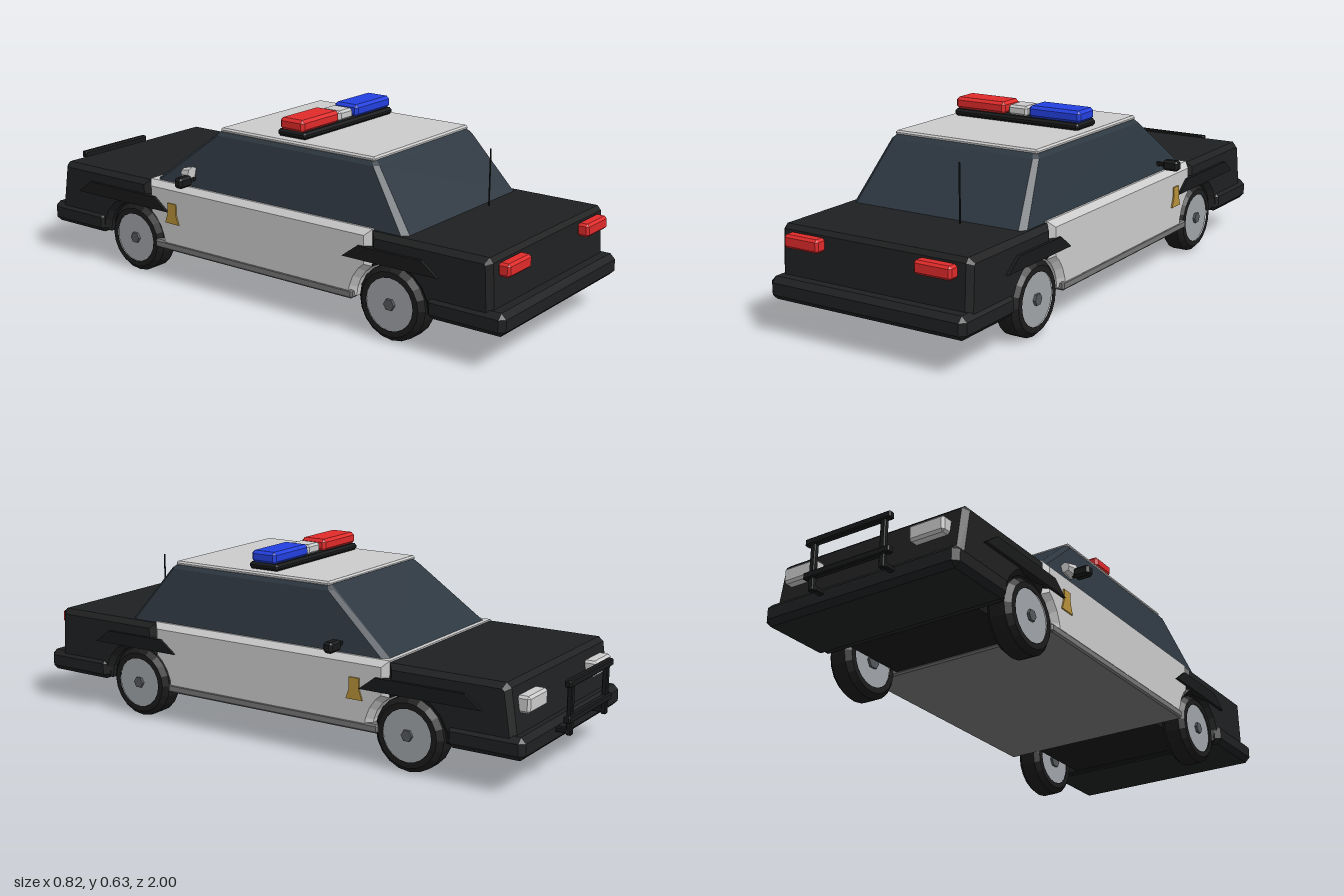
import * as THREE from 'three';
import { ConvexGeometry } from 'three/addons/geometries/ConvexGeometry.js';

const mat = (color) => new THREE.MeshStandardMaterial({ color, flatShading: true });
const MAT = {
  white: mat(0xcccccc), black: mat(0x1f2021), trim: mat(0x18191a), tyre: mat(0x1b1b1c),
  glass: mat(0x2d3740), sill: mat(0x777777), rim: mat(0xa0a4a8), cap: mat(0x55585b),
  red: mat(0xe02a2a), blue: mat(0x2340e0), gold: mat(0xb8923a), lamp: mat(0xc4c8c8),
};

export function createModel() {
  const car = new THREE.Group();
  car.name = 'patrolCar';

  const add = (name, geometry, material, parent = car) => {
    const mesh = new THREE.Mesh(geometry, material);
    mesh.name = name;
    parent.add(mesh);
    return mesh;
  };

  // Box from min/max extents with every edge chamfered by c
  const block = (name, x, y, z, c, material, parent) => {
    const points = [];
    for (const i of [0, 1]) for (const j of [0, 1]) for (const k of [0, 1]) {
      const ix = i ? -c : c, iy = j ? -c : c, iz = k ? -c : c;
      points.push(new THREE.Vector3(x[i], y[j] + iy, z[k] + iz));
      points.push(new THREE.Vector3(x[i] + ix, y[j], z[k] + iz));
      points.push(new THREE.Vector3(x[i] + ix, y[j] + iy, z[k]));
    }
    return add(name, new ConvexGeometry(points), material, parent);
  };

  // Side profile of [z, y] points extruded across the car, between x0 and x1
  const profile = (name, points, x0, x1, bevel, material) => {
    const shape = new THREE.Shape(points.map(([z, y]) => new THREE.Vector2(z, y)));
    const geometry = new THREE.ExtrudeGeometry(shape, {
      depth: x1 - x0 - 2 * bevel, bevelEnabled: bevel > 0, bevelSize: bevel,
      bevelThickness: bevel, bevelOffset: -bevel, bevelSegments: 1,
    });
    geometry.rotateY(-Math.PI / 2);
    geometry.translate(x1 - bevel, 0, 0);
    return add(name, geometry, material);
  };

  // Wheel arch points, angles in degrees
  const REAR = 0.576, FRONT = -0.533, FLOOR = 0.12;
  const arch = (cz, from, to) => {
    const n = Math.ceil(Math.abs(to - from) / 18);
    return Array.from({ length: n + 1 }, (_, i) => {
      const a = THREE.MathUtils.degToRad(from + (to - from) * i / n);
      return [cz + 0.135 * Math.cos(a), FLOOR + 0.135 * Math.sin(a)];
    });
  };

  // Body: boot, doors and bonnet sections meeting above the arches
  profile('boot', [[0.95, FLOOR], [0.938, 0.335], [0.925, 0.35], [0.5, 0.35],
    ...arch(REAR, 124.3, 0)], -0.36, 0.36, 0.018, MAT.black);
  profile('doorSection', [[0.5, 0.355], [-0.46, 0.355], ...arch(FRONT, 57.3, 0),
    ...arch(REAR, 180, 124.3)], -0.362, 0.362, 0.02, MAT.white);
  profile('bonnet', [[-0.46, 0.35], [-0.87, 0.35], [-0.887, 0.335], [-0.92, FLOOR],
    ...arch(FRONT, 180, 57.3)], -0.36, 0.36, 0.018, MAT.black);
  add('chassis', new THREE.BoxGeometry(0.5, 0.2, 1.76).translate(0, 0.222, 0), MAT.trim);
  block('sill', [-0.364, 0.364], [0.113, 0.143], [-0.428, 0.436], 0.006, MAT.sill);

  // Bumpers
  block('rearBumper', [-0.37, 0.37], [0.115, 0.19], [0.715, 0.995], 0.018, MAT.black);
  block('frontBumper', [-0.37, 0.37], [0.115, 0.19], [-0.945, -0.675], 0.018, MAT.black);

  // Cabin glass: stacked rings of chamfered rectangles
  const cabin = [];
  for (const [y, x, z0, z1, c] of [[0.35, 0.335, -0.45, 0.622, 0.02],
    [0.54, 0.288, -0.205, 0.475, 0.015], [0.556, 0.272, -0.188, 0.455, 0.01]]) {
    for (const s of [-1, 1]) for (const [px, pz] of
      [[x - c, z0], [x, z0 + c], [x, z1 - c], [x - c, z1]]) {
      cabin.push(new THREE.Vector3(s * px, y, pz));
    }
  }
  add('cabinGlass', new ConvexGeometry(cabin), MAT.glass);
  block('roof', [-0.278, 0.278], [0.549, 0.566], [-0.187, 0.457], 0.006, MAT.white);

  // Roof light bar
  block('lightBarBase', [-0.25, 0.25], [0.568, 0.592], [0.04, 0.16], 0.008, MAT.trim);
  block('redBeacon', [-0.25, -0.048], [0.59, 0.632], [0.05, 0.15], 0.01, MAT.red);
  block('blueBeacon', [0.048, 0.25], [0.59, 0.632], [0.05, 0.15], 0.01, MAT.blue);
  block('centreBeacon', [-0.038, 0.038], [0.59, 0.625], [0.06, 0.142], 0.008, MAT.lamp);

  // Tyre section as radius against width
  const tyreProfile = [[0.088, -0.045], [0.108, -0.045], [0.125, -0.028],
    [0.125, 0.028], [0.108, 0.045], [0.088, 0.045]].map(([r, w]) => new THREE.Vector2(r, w));

  for (const side of [-1, 1]) {
    const label = side > 0 ? 'left' : 'right';
    const span = (a, b) => (side > 0 ? [a, b] : [-b, -a]);

    for (const [end, cz] of [['Front', FRONT], ['Rear', REAR]]) {
      // Wheel with rim and hub cap
      const wheel = new THREE.Group();
      wheel.name = `${label}${end}Wheel`;
      wheel.position.set(side * 0.31, 0.125, cz);
      wheel.rotation.z = -side * Math.PI / 2;
      add('tyre', new THREE.LatheGeometry(tyreProfile, 20), MAT.tyre, wheel);
      add('rim', new THREE.CylinderGeometry(0.09, 0.09, 0.082, 20), MAT.rim, wheel);
      add('hubCap', new THREE.CylinderGeometry(0.02, 0.026, 0.1, 6), MAT.cap, wheel);
      car.add(wheel);

      // Flared arch trim
      const [z0, z1] = end === 'Rear' ? [0.4, 0.76] : [-0.8, -0.36];
      profile(`${label}${end}Flare`, [[z0, 0.255], [z1, 0.255], [z1 - 0.06, 0.3],
        [z0 + 0.06, 0.3]], ...span(0.345, 0.371), 0, MAT.trim);
    }

    // Lamps, mirror and door badge
    block(`${label}TailLight`, span(0.18, 0.315), [0.286, 0.33], [0.935, 0.978], 0.008, MAT.red);
    block(`${label}Headlight`, span(0.18, 0.31), [0.25, 0.305], [-0.932, -0.885], 0.008, MAT.lamp);
    block(`${label}Mirror`, span(0.352, 0.412), [0.365, 0.402], [-0.285, -0.25], 0.008, MAT.trim);
    block(`${label}MirrorArm`, span(0.31, 0.36), [0.376, 0.39], [-0.273, -0.26], 0.002, MAT.trim);
    profile(`${label}Badge`, [[-0.372, 0.215], [-0.31, 0.215], [-0.322, 0.25], [-0.322, 0.288],
      [-0.36, 0.288], [-0.36, 0.25]], ...span(0.355, 0.367), 0, MAT.gold);

    // Push bar upright and its mount
    block(`${label}PushBarUpright`, span(0.125, 0.145), [0.15, 0.33], [-0.996, -0.978], 0.003, MAT.trim);
    block(`${label}PushBarMount`, span(0.125, 0.145), [0.155, 0.172], [-0.985, -0.93], 0.003, MAT.trim);
  }

  // Push bar rails
  for (const y of [0.205, 0.32]) {
    block('pushBarRail', [-0.165, 0.165], [y - 0.012, y + 0.012], [-1, -0.977], 0.004, MAT.trim);
  }

  // Spotlight by the windscreen pillar
  const spot = add('spotlight', new THREE.CylinderGeometry(0.018, 0.028, 0.04, 8), MAT.lamp);
  spot.rotation.x = -Math.PI / 2;
  spot.position.set(-0.335, 0.4, -0.285);

  // Aerial on the boot
  add('aerial', new THREE.CylinderGeometry(0.003, 0.003, 0.2, 6).translate(0.115, 0.445, 0.645), MAT.trim);

  return car;
}
